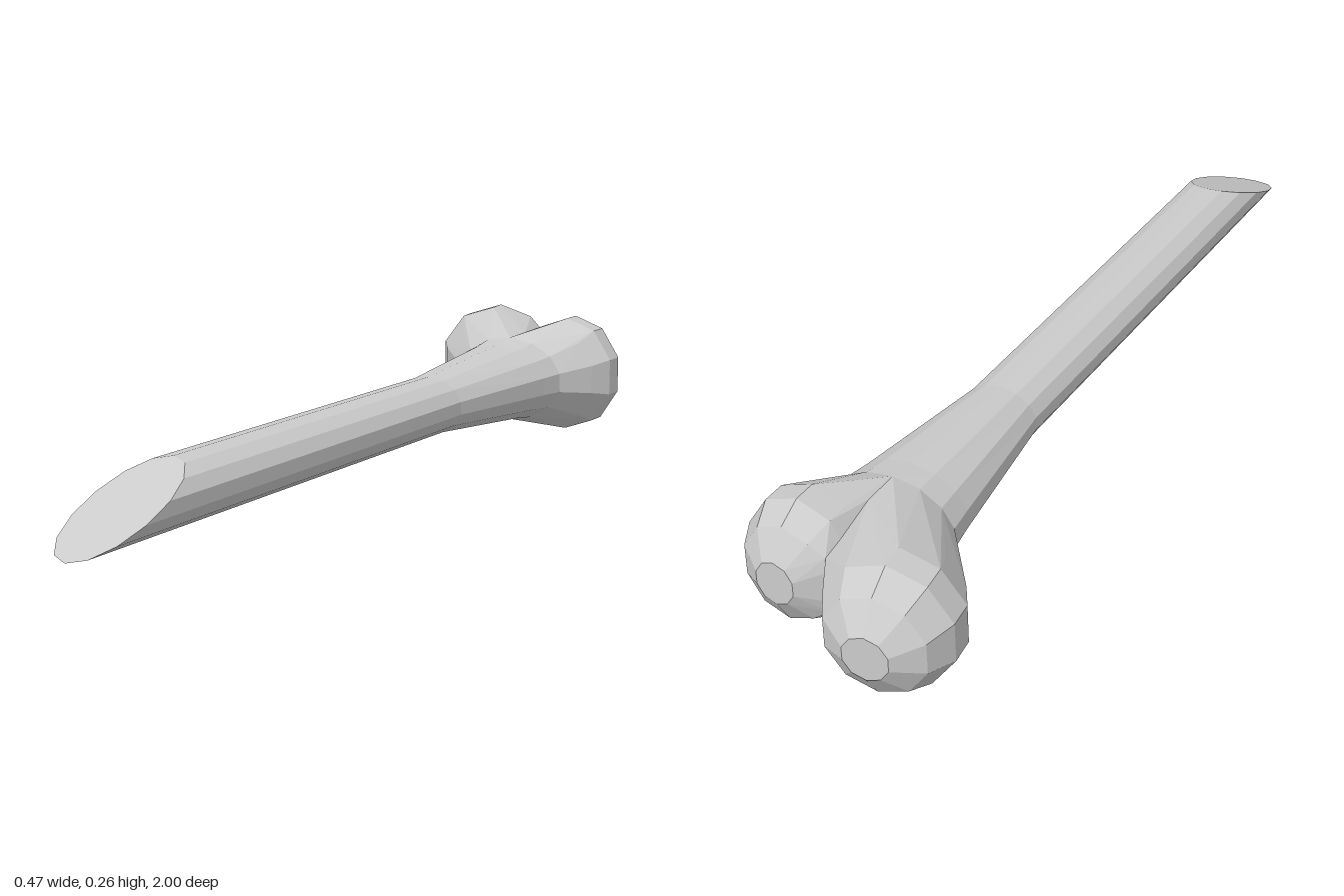
import * as THREE from 'three';
import { ConvexGeometry } from 'three/addons/geometries/ConvexGeometry.js';

const CX = 0.04, CY = 0.13, SIDES = 14;
const material = new THREE.MeshStandardMaterial({ color: 0xcccccc, flatShading: true });

// Elliptical ring of points facing z, with a vertex at the very top
function ring(cx, cz, rx, ry, n) {
  return Array.from({ length: n }, (_, i) => {
    const a = Math.PI / 2 + (i / n) * Math.PI * 2;
    return new THREE.Vector3(cx + rx * Math.cos(a), CY + ry * Math.sin(a), cz);
  });
}

// Skin over a row of rings running from front to back, closed at the front
function loft(rings) {
  const n = rings[0].length, index = [];
  for (let r = 0; r < rings.length - 1; r++) {
    for (let j = 0; j < n; j++) {
      const k = (j + 1) % n;
      const a = r * n + j, b = r * n + k, c = a + n, d = b + n;
      index.push(a, c, b, b, c, d);
    }
  }
  for (let j = 1; j < n - 1; j++) index.push(0, j, j + 1);
  const indexed = new THREE.BufferGeometry().setFromPoints(rings.flat());
  indexed.setIndex(index);
  const geometry = indexed.toNonIndexed();
  geometry.computeVertexNormals();
  return geometry;
}

// Faceted knob: rounded end hulled together with its half of the neck
function knob(neck, side, { x, z, rx, ry, rz, yaw }) {
  const points = neck.filter(p => (p.x - CX) * side > -0.001).map(p => p.clone());
  // Crotch between the two knobs
  for (const s of [-1, 1]) {
    points.push(new THREE.Vector3(CX, CY + s * 0.095, -0.72));
    points.push(new THREE.Vector3(CX, CY + s * 0.06, -0.86));
  }
  // Rings around the bulb, from the flat tip forward
  for (const deg of [20, 50, 78, 102, 130]) {
    const p = THREE.MathUtils.degToRad(deg);
    for (const v of ring(0, -rz * Math.cos(p), rx * Math.sin(p), ry * Math.sin(p), 10)) {
      v.applyAxisAngle(new THREE.Vector3(0, 1, 0), yaw);
      points.push(v.add(new THREE.Vector3(x, 0, z)));
    }
  }
  return new ConvexGeometry(points);
}

export function createModel() {
  const model = new THREE.Group();
  model.name = 'bone';
  const add = (name, geometry) => {
    const mesh = new THREE.Mesh(geometry, material);
    mesh.name = name;
    model.add(mesh);
  };

  // Shaft with a slanted cut at the front and a flared neck at the back
  const tip = ring(CX, 0, 0.08, 0.062, SIDES);
  for (const p of tip) p.z = THREE.MathUtils.mapLinear(p.y, CY - 0.062, CY + 0.062, 1, 0.69);
  const neck = ring(CX, -0.64, 0.13, 0.095, SIDES);
  add('shaft', loft([
    tip,
    ring(CX, -0.25, 0.08, 0.062, SIDES),
    ring(CX, -0.58, 0.121, 0.087, SIDES),
    neck,
  ]));

  // Long knob and short knob
  add('rightKnob', knob(neck, -1, { x: -0.11, z: -0.875, rx: 0.133, ry: 0.133, rz: 0.128, yaw: 0.12 }));
  add('leftKnob', knob(neck, 1, { x: 0.125, z: -0.792, rx: 0.118, ry: 0.133, rz: 0.115, yaw: 0 }));
  return model;
}
